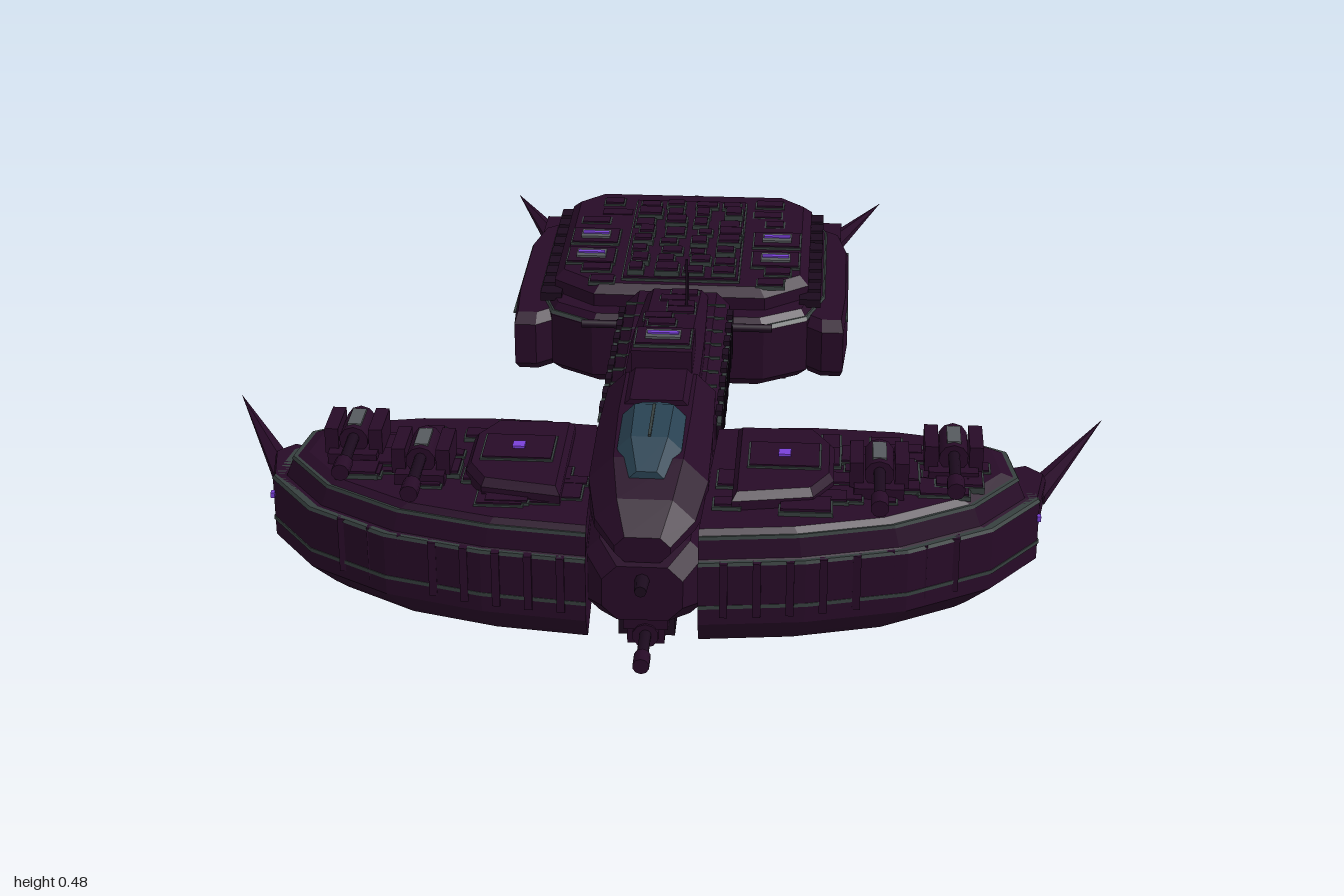
import * as THREE from 'three';

const mat = (name, color) => {
  const m = new THREE.MeshStandardMaterial({ color });
  m.name = name;
  return m;
};

export function createModel() {
  const root = new THREE.Group();
  root.name = 'spaceship';
  const hull = mat('dark plum hull', 0x270b27);
  const dark = mat('darker plating', 0x1b0a1d);
  const trim = mat('grey green trim', 0x363f3e);
  const grey = mat('grey metal', 0x565a5e);
  const glass = mat('blue canopy glass', 0x294252);
  const glow = mat('violet glow', 0x7a40d8);

  let seed = 7;
  const rnd = (a = 0, b = 1) => {
    seed = (seed * 16807) % 2147483647;
    return a + (b - a) * (seed / 2147483647);
  };
  const add = (name, geo, m, x = 0, y = 0, z = 0) => {
    const mesh = new THREE.Mesh(geo, m);
    mesh.name = name;
    mesh.position.set(x, y, z);
    root.add(mesh);
    return mesh;
  };
  const box = (name, m, w, h, d, x, y, z) => add(name, new THREE.BoxGeometry(w, h, d), m, x, y, z);
  const tubeZ = (name, m, r0, r1, len, x, y, z, n = 10) =>
    add(name, new THREE.CylinderGeometry(r0, r1, len, n).rotateX(Math.PI / 2), m, x, y, z);

  // Flat shaded skin over closed rings, with fan caps on both ends
  const skin = (rings) => {
    const pos = [], n = rings[0].length;
    const tri = (...v) => v.forEach((p) => pos.push(...p));
    const mid = (r) => [0, 1, 2].map((k) => r.reduce((s, p) => s + p[k], 0) / n);
    for (let i = 0; i < n; i++) {
      const j = (i + 1) % n;
      for (let k = 0; k + 1 < rings.length; k++) {
        const a = rings[k], b = rings[k + 1];
        tri(a[i], a[j], b[j]);
        tri(a[i], b[j], b[i]);
      }
      const lo = rings[0], hi = rings[rings.length - 1];
      tri(mid(lo), lo[j], lo[i]);
      tri(mid(hi), hi[i], hi[j]);
    }
    const g = new THREE.BufferGeometry();
    g.setAttribute('position', new THREE.Float32BufferAttribute(pos, 3));
    g.computeVertexNormals();
    return g;
  };
  // Stack of plan outlines [x, z]; levels are [y, scale] about (cx, cz)
  const stack = (outline, levels, cx, cz, side = 1) => {
    let pts = outline;
    const area = pts.reduce((s, p, i) => {
      const q = pts[(i + 1) % pts.length];
      return s - p[0] * q[1] + q[0] * p[1];
    }, 0);
    if (area * side < 0) pts = [...pts].reverse();
    return skin(levels.map(([y, s]) => pts.map(([x, z]) => [side * (cx + (x - cx) * s), y, cz + (z - cz) * s])));
  };
  // Chamfered box sections along z: [z, halfWidth, y0, y1, chamfer]
  const along = (secs) => skin(secs.map(([z, w, a, b, c]) => [
    [w - c, a, z], [w, a + c, z], [w, b - c, z], [w - c, b, z],
    [c - w, b, z], [-w, b - c, z], [-w, a + c, z], [c - w, a, z]]));
  // Raised plate with a visible rim
  const plate = (x, y, z, w, d, h) => {
    box('plateRim', trim, w + 0.008, h * 0.7, d + 0.008, x, y + h * 0.35, z);
    box('plate', hull, w, h, d, x, y + h / 2, z);
  };
  const lamp = (x, y, z, w, d) => {
    plate(x, y, z, w + 0.04, d + 0.04, 0.012);
    box('lampFrame', grey, w, 0.006, d, x, y + 0.014, z);
    box('lampStrip', glow, w * 0.9, 0.005, d * 0.28, x, y + 0.018, z);
  };
  const spike = (x0, z0, x1, z1, y, r) => {
    const len = Math.hypot(x1 - x0, z1 - z0);
    const g = new THREE.ConeGeometry(r, len, 6).toNonIndexed();
    g.computeVertexNormals();
    g.rotateX(Math.PI / 2).scale(1, 0.6, 1).rotateY(Math.atan2(x1 - x0, z1 - z0));
    add('spike', g, hull, (x0 + x1) / 2, y, (z0 + z1) / 2);
  };

  const wing = [[0.11, 0.97], [0.32, 0.945], [0.52, 0.89], [0.69, 0.79], [0.79, 0.66],
    [0.77, 0.54], [0.7, 0.5], [0.55, 0.47], [0.35, 0.46], [0.13, 0.48]];
  const wingFront = (x) => 0.97 - 0.53 * (x - 0.11) ** 2;

  for (const s of [1, -1]) {
    // Front wing: hull, belt and deck edge
    add('wing', stack(wing, [[0.06, 0.88], [0.075, 0.92], [0.112, 1], [0.245, 1], [0.252, 0.955],
      [0.295, 0.93], [0.31, 0.88]], 0.11, 0.7, s), hull);
    add('wingBelt', stack(wing, [[0.147, 1.004], [0.155, 1.004]], 0.11, 0.7, s), trim);
    add('wingDeckEdge', stack(wing, [[0.243, 1.003], [0.25, 0.995]], 0.11, 0.7, s), trim);
    add('wingUpperEdge', stack(wing, [[0.292, 0.936], [0.299, 0.93]], 0.11, 0.7, s), trim);
    // Wing deck plating
    for (let i = 0; i < 34; i++) {
      const x = rnd(0.16, 0.66);
      const z = rnd(0.52 + Math.max(0, x - 0.5) * 0.3, wingFront(x) - 0.1);
      plate(s * x, 0.306, z, rnd(0.03, 0.1), rnd(0.02, 0.08), rnd(0.008, 0.02));
    }
    add('wingDeck', stack([[0.17, 0.86], [0.33, 0.83], [0.37, 0.76], [0.37, 0.62], [0.33, 0.55], [0.17, 0.55]],
      [[0.3, 1], [0.33, 1], [0.345, 0.9]], 0.27, 0.7, s), hull);
    plate(s * 0.27, 0.342, 0.69, 0.14, 0.1, 0.01);
    box('deckLight', glow, 0.025, 0.006, 0.025, s * 0.27, 0.354, 0.69);
    // Under side plating and rim blocks
    for (let i = 0; i < 16; i++) {
      const x = rnd(0.18, 0.62);
      box('bellyPlate', dark, rnd(0.04, 0.12), 0.012, rnd(0.03, 0.1), s * x, 0.058, rnd(0.55, wingFront(x) - 0.14));
    }
    for (let i = 0; i < 8; i++) {
      const x = 0.16 + i * 0.065;
      box('rimRib', hull, 0.016, 0.12, 0.03, s * x, 0.19, wingFront(x) - 0.013);
      box('rearRib', hull, 0.03, 0.15, 0.03, s * x, 0.18, 0.472);
    }
    [0.2, 0.35, 0.49].forEach((x) => box('rearPeg', hull, 0.016, 0.03, 0.04, s * x, 0.24, 0.455));
    // Twin turrets with barrels
    for (const [x, z] of [[0.46, 0.72], [0.61, 0.64]]) {
      box('turretBase', hull, 0.1, 0.03, 0.15, s * x, 0.318, z);
      for (const k of [-1, 1]) box('turretCheek', hull, 0.028, 0.055, 0.1, s * x + k * 0.045, 0.35, z);
      box('turretPlate', grey, 0.028, 0.01, 0.07, s * x, 0.378, z);
      tubeZ('turretHousing', hull, 0.03, 0.03, 0.1, s * x, 0.352, z);
      tubeZ('turretBarrel', dark, 0.012, 0.012, 0.16, s * x, 0.358, z + 0.11);
      tubeZ('turretMuzzle', hull, 0.018, 0.018, 0.045, s * x, 0.358, z + 0.18);
    }
    // Wing tip pod and swept spike
    add('tipPod', stack([[0.72, 0.74], [0.79, 0.66], [0.81, 0.54], [0.77, 0.5], [0.7, 0.53]],
      [[0.17, 0.85], [0.19, 1], [0.23, 1], [0.25, 0.85]], 0.76, 0.61, s), hull);
    box('tipLight', glow, 0.008, 0.012, 0.012, s * 0.79, 0.21, 0.668);
    spike(s * 0.78, 0.58, s * 0.955, 0.21, 0.21, 0.032);
    // Neck ribs, rails and cross bar
    for (let i = 0; i < 8; i++) {
      box('neckRib', dark, 0.014, 0.11, 0.035, s * 0.124, 0.262, -0.07 + i * 0.07);
      box('neckRibTrim', trim, 0.01, 0.008, 0.05, s * 0.126, 0.302, -0.045 + i * 0.07);
      box('neckPanel', trim, 0.05, 0.006, 0.005, s * 0.09, 0.333, -0.07 + i * 0.07);
    }
    tubeZ('neckRail', dark, 0.006, 0.006, 0.6, s * 0.09, 0.165, 0.2, 6).rotation.x = 0.03;
    box('lowerBeam', hull, 0.035, 0.03, 0.64, s * 0.055, 0.116, 0.2);
    const bar = tubeZ('crossBar', dark, 0.01, 0.01, 0.14, s * 0.15, 0.27, -0.09, 8);
    bar.rotation.y = Math.PI / 2;
    // Rear side pod, rear spike and its root
    add('rearSidePod', stack([[0.3, -0.18], [0.335, -0.15], [0.385, -0.15], [0.395, -0.3], [0.395, -0.6], [0.37, -0.72], [0.3, -0.78]],
      [[0.11, 0.9], [0.135, 1], [0.235, 1], [0.255, 0.9]], 0.33, -0.45, s), hull);
    box('podLine', trim, 0.006, 0.006, 0.4, s * 0.392, 0.235, -0.42);
    box('spikeRoot', hull, 0.06, 0.05, 0.1, s * 0.345, 0.22, -0.745);
    spike(s * 0.345, -0.7, s * 0.475, -1, 0.22, 0.032);
    // Rear deck lamps
    for (const z of [-0.47, -0.35]) lamp(s * 0.22, 0.322, z, 0.07, 0.045);
  }

  // Centre hull between the wings, with head and canopy
  add('centreHull', along([[0.42, 0.1, 0.1, 0.24, 0.02], [0.5, 0.12, 0.085, 0.25, 0.02], [0.88, 0.12, 0.085, 0.25, 0.03],
    [0.955, 0.08, 0.11, 0.23, 0.03]]), hull);
  add('head', along([[0.4, 0.115, 0.2, 0.385, 0.04], [0.6, 0.12, 0.22, 0.39, 0.045], [0.78, 0.12, 0.22, 0.38, 0.05],
    [0.88, 0.1, 0.23, 0.34, 0.045], [0.945, 0.055, 0.235, 0.29, 0.02]]), hull);
  add('canopy', along([[0.57, 0.035, 0.37, 0.4, 0.012], [0.61, 0.065, 0.36, 0.415, 0.025], [0.75, 0.065, 0.35, 0.412, 0.028],
    [0.83, 0.035, 0.34, 0.375, 0.015]]), glass);
  box('canopyBar', trim, 0.006, 0.006, 0.14, 0, 0.414, 0.68);
  tubeZ('noseProbe', dark, 0.012, 0.016, 0.06, 0, 0.2, 0.97, 8);

  // Neck with raised spine
  add('neck', along([[-0.15, 0.12, 0.17, 0.33, 0.03], [0, 0.12, 0.2, 0.335, 0.03], [0.45, 0.12, 0.2, 0.335, 0.03]]), hull);
  add('spine', along([[-0.13, 0.07, 0.3, 0.345, 0.015], [0, 0.075, 0.3, 0.365, 0.02], [0.2, 0.08, 0.3, 0.395, 0.025],
    [0.56, 0.08, 0.3, 0.4, 0.025]]), hull);
  box('spineBlock', hull, 0.13, 0.05, 0.12, 0, 0.413, 0.345);
  lamp(0, 0.436, 0.345, 0.075, 0.04);
  for (let i = 0; i < 6; i++) plate(rnd(-0.03, 0.03), 0.34 + i * 0.008, -0.09 + i * 0.05, 0.06, 0.03, 0.018);
  for (const [z, top] of [[0.02, 0.485], [-0.01, 0.44]])
    add('antenna', new THREE.CylinderGeometry(0.003, 0.004, top - 0.34, 6), dark, 0.03, (top + 0.34) / 2, z);

  // Chin turret
  box('chinMount', hull, 0.09, 0.06, 0.15, 0, 0.07, 0.8);
  box('chinTurret', hull, 0.075, 0.05, 0.14, 0, 0.03, 0.8);
  for (const k of [-1, 1]) box('chinCheek', dark, 0.025, 0.05, 0.09, k * 0.045, 0.035, 0.8);
  tubeZ('chinHousing', hull, 0.027, 0.027, 0.1, 0, 0.027, 0.83);
  tubeZ('chinBarrel', dark, 0.012, 0.012, 0.14, 0, 0.03, 0.92);
  tubeZ('chinMuzzle', hull, 0.017, 0.017, 0.04, 0, 0.03, 0.98);

  // Rear block and raised deck
  const rear = [[-0.2, -0.12], [0.2, -0.12], [0.3, -0.18], [0.34, -0.3], [0.34, -0.7], [0.3, -0.83], [-0.3, -0.83], [-0.34, -0.7], [-0.34, -0.3], [-0.3, -0.18]];
  add('rearBlock', stack(rear, [[0.1, 0.93], [0.125, 1], [0.25, 1], [0.275, 0.95]], 0, -0.48), hull);
  add('rearBlockBelt', stack(rear, [[0.253, 1.003], [0.26, 0.99]], 0, -0.48), trim);
  add('rearDeck', stack([[-0.2, -0.18], [0.2, -0.18], [0.3, -0.26], [0.3, -0.72], [0.24, -0.78], [-0.24, -0.78], [-0.3, -0.72], [-0.3, -0.26]],
    [[0.26, 1], [0.305, 1], [0.325, 0.93]], 0, -0.48), hull);
  plate(0, 0.32, -0.46, 0.27, 0.48, 0.015);
  for (let i = 0; i < 8; i++)
    for (const x of [-0.1, -0.035, 0.035, 0.1])
      plate(x + rnd(-0.01, 0.01), 0.332, -0.25 - i * 0.058, rnd(0.03, 0.055), rnd(0.025, 0.045), rnd(0.01, 0.025));
  for (let i = 0; i < 9; i++)
    for (const s of [-1, 1]) {
      const z = -0.22 - i * 0.06;
      if (z > -0.3 || z < -0.53) plate(s * rnd(0.18, 0.23), 0.318, z, rnd(0.04, 0.08), 0.035, rnd(0.008, 0.018));
      box('edgePanel', dark, 0.05, 0.02, 0.045, s * 0.305, 0.278, z - 0.02);
    }
  for (let i = 0; i < 26; i++)
    box('rearBellyPlate', dark, rnd(0.04, 0.12), 0.012, rnd(0.04, 0.1), rnd(-0.24, 0.24), 0.098, rnd(-0.75, -0.22));
  for (const s of [-1, 1])
    for (const z of [-0.22, -0.7]) add('bellyLamp', new THREE.CylinderGeometry(0.018, 0.018, 0.014, 12), grey, s * 0.2, 0.096, z);

  // Three engines with open nozzles and glowing cores
  for (const [x, r, end] of [[-0.19, 0.068, -0.9], [0, 0.078, -0.905], [0.19, 0.068, -0.9]]) {
    box('engineMount', hull, r * 2.3, 0.15, 0.06, x, 0.19, -0.835);
    const profile = [[0, 0.02], [r * 0.75, 0.02], [r * 0.88, 0], [r, 0], [r, 0.03], [r * 0.9, 0.04], [r * 0.9, 0.1]]
      .map(([a, b]) => new THREE.Vector2(a, b));
    const nozzle = new THREE.MeshStandardMaterial();
    nozzle.copy(hull);
    hull.side = THREE.DoubleSide;
    add('engineNozzle', new THREE.LatheGeometry(profile, 20).rotateX(Math.PI / 2), hull, x, 0.19, end);
    add('engineGlow', new THREE.CircleGeometry(r * 0.68, 20).rotateY(Math.PI), glow, x, 0.19, end + 0.014);
  }
  for (const s of [-1, 1])
    for (const x of [0.095, 0.28]) tubeZ('thrusterPipe', dark, 0.02, 0.02, 0.05, s * x, 0.22, -0.84, 8);

  return root;
}
